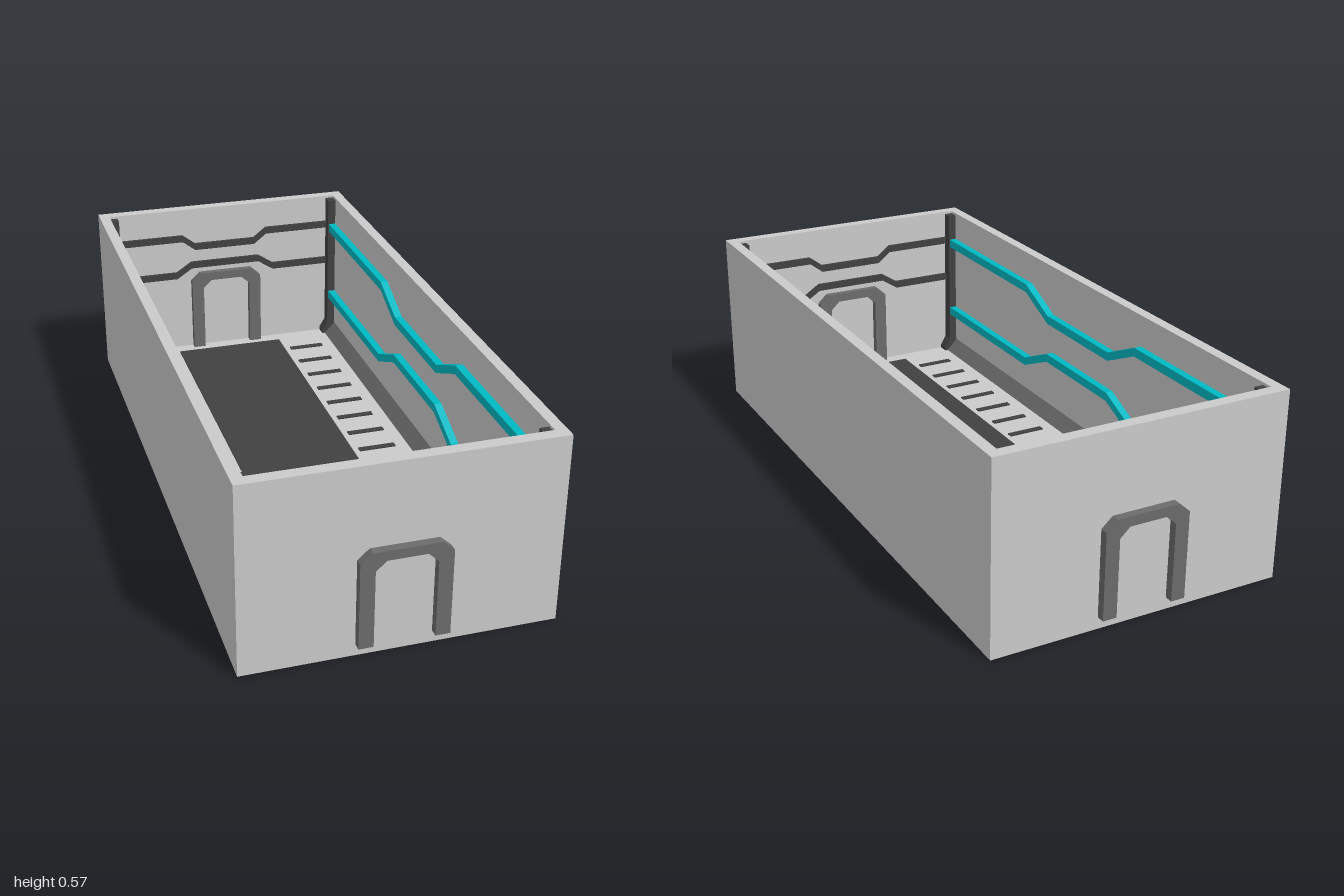
import * as THREE from 'three';

const mat = (name, color) => {
  const m = new THREE.MeshStandardMaterial({ color });
  m.name = name;
  return m;
};

export function createModel() {
  const wallGrey = mat('wallGrey', 0xcacaca);
  const frameGrey = mat('frameGrey', 0x6b6b6b);
  const darkGrey = mat('darkGrey', 0x414141);
  const teal = mat('teal', 0x00b9c4);

  const model = new THREE.Group();
  model.name = 'room';

  const W = 0.447, L = 0.975, H = 0.57;   // outer half width, half length, height
  const IW = 0.413, IL = 0.938, F = 0.036; // inner half width, half length, floor height

  const add = (parent, name, geometry, material, x = 0, y = 0, z = 0) => {
    const m = new THREE.Mesh(geometry, material);
    m.name = name;
    m.position.set(x, y, z);
    parent.add(m);
    return m;
  };
  // box given by its lower and upper corners
  const box = (parent, name, material, a, b) =>
    add(parent, name, new THREE.BoxGeometry(b[0] - a[0], b[1] - a[1], b[2] - a[2]), material,
      (a[0] + b[0]) / 2, (a[1] + b[1]) / 2, (a[2] + b[2]) / 2);
  const poly = (pts) => new THREE.Shape(pts.map(([x, y]) => new THREE.Vector2(x, y)));
  const extrude = (shape, depth) => new THREE.ExtrudeGeometry(shape, { depth, bevelEnabled: false });
  // flat bar of constant height following a bent line
  const bar = (pts, height, depth) => extrude(poly([
    ...pts.map(([x, y]) => [x, y - height / 2]),
    ...pts.map(([x, y]) => [x, y + height / 2]).reverse(),
  ]), depth);
  // mirrored line with a raised or lowered middle
  const bentLine = (end, outer, inner, y, midY) =>
    [[-end, y], [-outer, y], [-inner, midY], [inner, midY], [outer, y], [end, y]];

  // Floor slab and the four walls as one ring
  box(model, 'floor', wallGrey, [-IW, 0, -IL], [IW, F, IL]);
  const ring = poly([[-W, -L], [W, -L], [W, L], [-W, L]]);
  ring.holes.push(new THREE.Path(
    [[-IW, -IL], [-IW, IL], [IW, IL], [IW, -IL]].map(([x, y]) => new THREE.Vector2(x, y))));
  const walls = extrude(ring, H);
  walls.rotateX(-Math.PI / 2);
  add(model, 'walls', walls, wallGrey);

  // Central floor strip and the rows of floor slots
  box(model, 'floorStrip', darkGrey, [-0.19, F, -0.885], [0.19, F + 0.004, 0.885]);
  for (let i = 0; i < 15; i++) {
    const z = -0.8 + i * 1.6 / 14;
    for (const s of [-1, 1]) {
      add(model, 'floorSlot', new THREE.BoxGeometry(0.122, 0.004, 0.02), darkGrey, s * 0.272, F + 0.002, z);
    }
  }

  // Each half is the same, turned about the vertical axis
  for (const turn of [0, Math.PI]) {
    const half = new THREE.Group();
    half.name = turn ? 'frontHalf' : 'backHalf';
    half.rotation.y = turn;
    model.add(half);

    // Door frame through the end wall
    const frame = poly([
      [-0.128, F], [-0.086, F], [-0.086, 0.27], [-0.056, 0.298],
      [0.056, 0.298], [0.086, 0.27], [0.086, F], [0.128, F],
      [0.128, 0.297], [0.095, 0.327], [-0.095, 0.327], [-0.128, 0.297],
    ]);
    add(half, 'doorFrame', extrude(frame, 0.085), frameGrey, 0, 0, -1);

    // Dark conduits on the end wall
    add(half, 'upperConduit', bar(bentLine(0.39, 0.155, 0.11, 0.463, 0.428), 0.024, 0.009), darkGrey, 0, 0, -IL);
    add(half, 'lowerConduit', bar(bentLine(0.39, 0.18, 0.125, 0.322, 0.358), 0.024, 0.009), darkGrey, 0, 0, -IL);

    // Teal pipes on the side wall
    for (const [name, y, midY] of [['upperPipe', 0.458, 0.392], ['lowerPipe', 0.192, 0.256]]) {
      const g = bar(bentLine(0.915, 0.33, 0.185, y, midY), 0.028, 0.024);
      g.rotateY(Math.PI / 2);
      add(half, name, g, teal, -IW, 0, 0);
    }

    // Sloped skirting along the side wall
    const skirt = extrude(poly([[-IW, F], [-0.376, F], [-IW, F + 0.04]]), 2 * IL);
    add(half, 'skirting', skirt, frameGrey, 0, 0, -IL);

    // Corner posts with a wider sloped foot
    for (const s of [-1, 1]) {
      const z = s * (IL - 0.017);
      box(half, 'cornerPost', darkGrey, [-IW, F, z - 0.017], [-0.386, H - 0.008, z + 0.017]);
      const foot = extrude(poly([[-IW, F], [-0.366, F], [-0.366, F + 0.012], [-0.386, F + 0.045], [-IW, F + 0.045]]), 0.038);
      add(half, 'postFoot', foot, darkGrey, 0, 0, s > 0 ? IL - 0.038 : -IL);
    }
  }
  return model;
}
